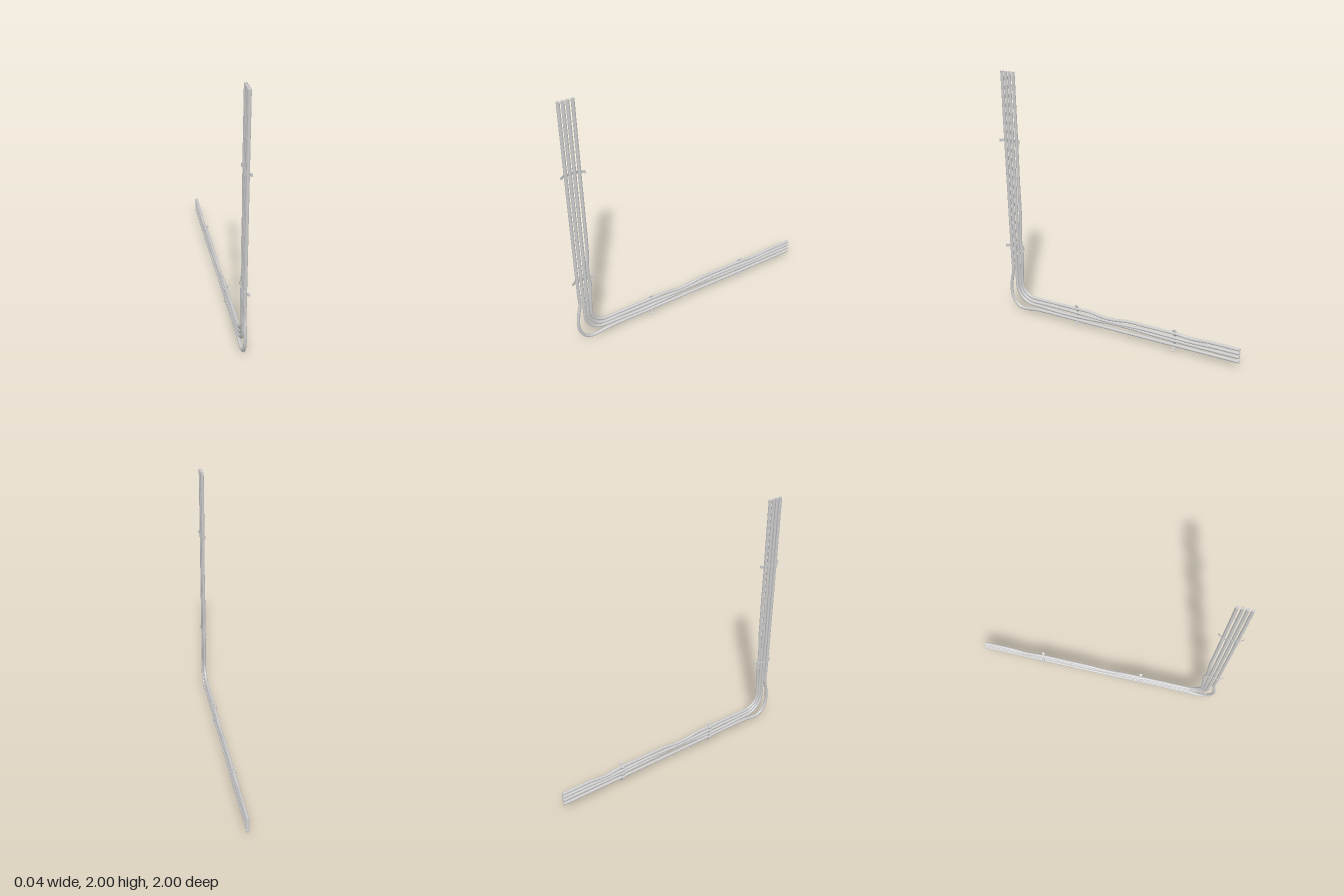
import * as THREE from 'three';

const material = new THREE.MeshStandardMaterial({ color: 0xcccccc });
const R = 0.012;

// Rounded elbow from a vertical run at z to a horizontal run at y
function elbow(z, y, r) {
  const points = [];
  for (let i = 0; i <= 8; i++) {
    const a = (i / 8) * Math.PI / 2;
    points.push([y + r - r * Math.sin(a), z - r + r * Math.cos(a)]);
  }
  return points;
}

// Cable swept through [y, z, x] points, with closed ends
function cable(name, points) {
  const group = new THREE.Group();
  group.name = name;
  const path = new THREE.CatmullRomCurve3(
    points.map(([y, z, x = 0]) => new THREE.Vector3(x, y, z)), false, 'centripetal');
  path.arcLengthDivisions = 1500;
  const sheath = new THREE.Mesh(new THREE.TubeGeometry(path, 320, R, 12), material);
  sheath.name = 'cableSheath';
  group.add(sheath);
  for (const t of [0, 1]) {
    const cap = new THREE.Mesh(new THREE.CircleGeometry(R, 12), material);
    cap.name = 'cableEnd';
    cap.position.copy(path.getPoint(t));
    if (t === 0) cap.rotation.x = -Math.PI / 2;
    else cap.rotation.y = Math.PI;
    group.add(cap);
  }
  return group;
}

// Scalloped strap running behind the cables, with a folded tab at each end
function clamp(name, offsets, half) {
  const width = 0.022, thick = 0.003;
  const line = [[-half, 0.02], [-half + 0.003, 0.012], [-half + 0.012, 0.007], [-0.066, 0.003]];
  offsets.forEach((u, i) => {
    line.push([u - 0.011, -0.011], [u, -0.0165], [u + 0.011, -0.011]);
    if (i < offsets.length - 1) line.push([(u + offsets[i + 1]) / 2, -0.007]);
  });
  line.push([0.066, 0.003], [half - 0.012, 0.007], [half - 0.003, 0.012], [half, 0.02]);
  const curve = new THREE.SplineCurve(line.map(([u, x]) => new THREE.Vector2(u, x)));
  const outer = [], inner = [];
  for (let i = 0; i <= 80; i++) {
    const p = curve.getPoint(i / 80), t = curve.getTangent(i / 80);
    inner.push(p);
    outer.unshift(new THREE.Vector2(p.x + t.y * thick, p.y - t.x * thick));
  }
  const geometry = new THREE.ExtrudeGeometry(new THREE.Shape([...inner, ...outer]),
    { depth: width, bevelEnabled: false });
  geometry.translate(0, 0, -width / 2);
  const mesh = new THREE.Mesh(geometry, material);
  mesh.name = name;
  return mesh;
}

export function createModel() {
  const model = new THREE.Group();
  model.name = 'cableRun';

  // Outer cable, with slack bulging round the corner
  model.add(cable('outerCable', [
    [2, 0.957], [1.4, 0.957], [0.8, 0.956], [0.45, 0.955], [0.36, 0.953],
    [0.28, 0.970], [0.19, 0.980], [0.12, 0.970], [0.06, 0.935], [0.032, 0.885],
    [0.033, 0.82], [0.043, 0.76], [0.046, 0.70], [0.046, 0.3], [0.046, -0.4], [0.046, -1]]));

  // Two middle cables
  model.add(cable('outerMiddleCable', [
    [2, 0.925], [1.2, 0.925], [0.6, 0.924], [0.35, 0.922], ...elbow(0.921, 0.084, 0.16),
    [0.083, 0.68], [0.075, 0.5], [0.081, 0.25], [0.094, 0.05], [0.094, -0.1],
    [0.086, -0.35], [0.083, -0.55], [0.083, -1]]));
  model.add(cable('innerMiddleCable', [
    [2, 0.893], [1.2, 0.893], [0.6, 0.892], [0.35, 0.894], ...elbow(0.894, 0.115, 0.14),
    [0.115, 0.68], [0.113, 0.4], [0.106, 0.2], [0.104, 0.05], [0.108, -0.1],
    [0.114, -0.25], [0.110, -0.45], [0.107, -0.63], [0.114, -0.8], [0.115, -1]]));

  // Inner cable, with gentle kinks
  model.add(cable('innerCable', [
    [2, 0.858], [1.4, 0.858], [1.15, 0.858, 0.002], [0.81, 0.858], [0.72, 0.865], [0.62, 0.867],
    [0.52, 0.858], [0.42, 0.864], [0.32, 0.870], ...elbow(0.870, 0.147, 0.12),
    [0.147, 0.65], [0.147, 0.4], [0.146, 0.23], [0.130, 0.12], [0.130, 0.03],
    [0.146, -0.09], [0.147, -0.3], [0.147, -0.5], [0.136, -0.6, -0.003],
    [0.136, -0.66, -0.003], [0.146, -0.76], [0.147, -1]]));

  // Clamps on the upright run: strap length along z
  for (const y of [1.467, 0.582]) {
    const part = clamp('uprightClamp', [-0.053, -0.019, 0.013, 0.045], 0.087);
    part.matrixAutoUpdate = false;
    part.matrix.makeBasis(new THREE.Vector3(0, 0, 1), new THREE.Vector3(1, 0, 0), new THREE.Vector3(0, 1, 0));
    part.matrix.setPosition(0, y, 0.912);
    part.matrix.decompose(part.position, part.quaternion, part.scale);
    part.matrixAutoUpdate = true;
    model.add(part);
  }
  // Clamps on the level run: strap length along y
  for (const z of [0.36, -0.485]) {
    const part = clamp('levelClamp', [-0.047, -0.011, 0.021, 0.053], 0.091);
    part.matrix.makeBasis(new THREE.Vector3(0, 1, 0), new THREE.Vector3(1, 0, 0), new THREE.Vector3(0, 0, -1));
    part.matrix.setPosition(0, 0.093, z);
    part.matrix.decompose(part.position, part.quaternion, part.scale);
    model.add(part);
  }
  return model;
}
